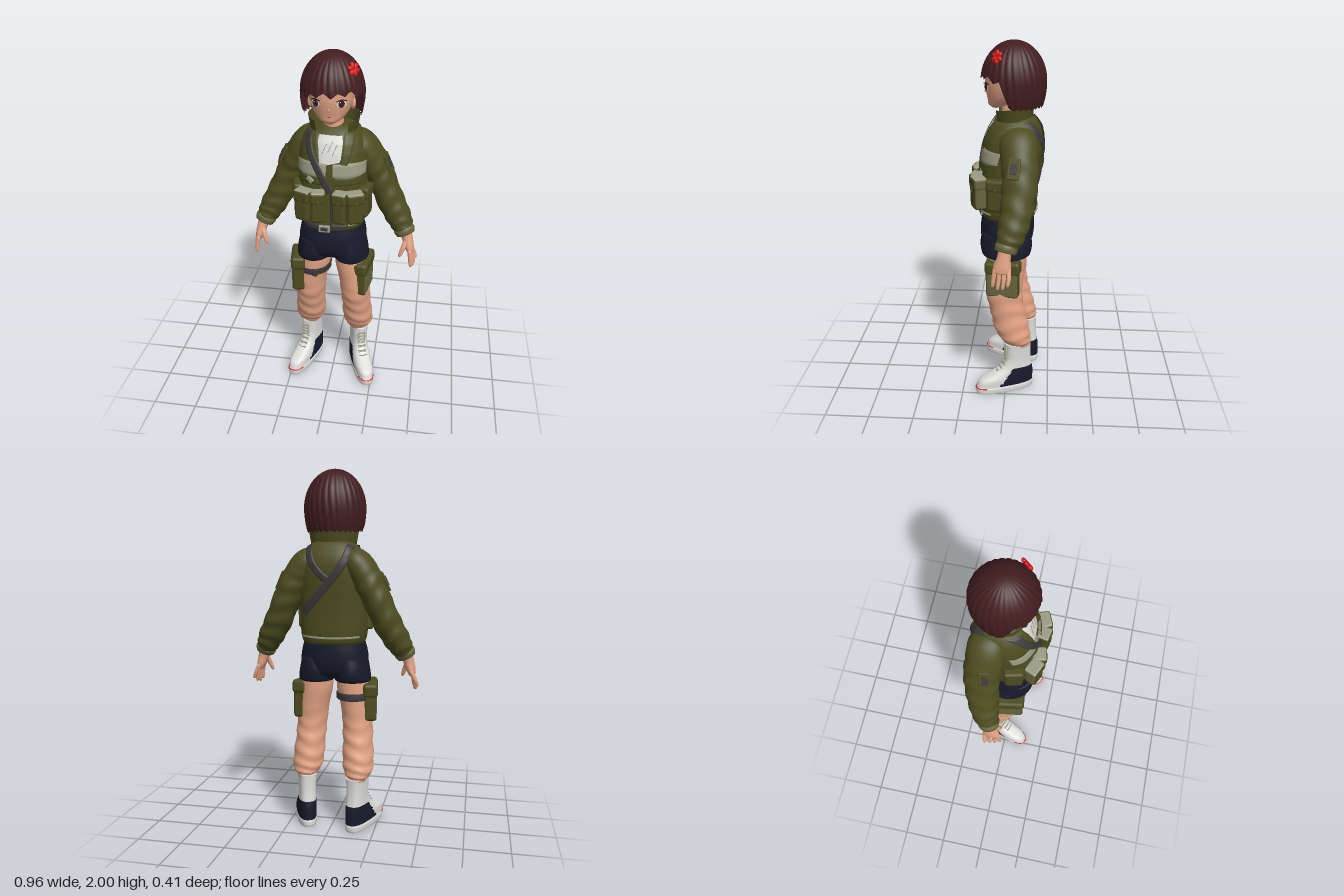
import * as THREE from 'three';
import { mergeVertices } from 'three/addons/utils/BufferGeometryUtils.js';
import { RoundedBoxGeometry } from 'three/addons/geometries/RoundedBoxGeometry.js';

const mat = (name, color) => new THREE.MeshStandardMaterial({ name, color, side: THREE.DoubleSide });
const skin = mat('skin', 0xe2a283), hairCol = mat('maroon hair', 0x421d1f), olive = mat('olive', 0x4c4c20);
const khaki = mat('pale khaki', 0x9c9c84), moss = mat('moss', 0x66663f), navy = mat('navy', 0x171a2b);
const charcoal = mat('charcoal', 0x3d393b), white = mat('white', 0xdcdcda), red = mat('red', 0xd81a1a);
const { sin, cos, abs, PI, sign } = Math, { smoothstep, clamp } = THREE.MathUtils;

// Jacket body rings: x, y, z, half width, half depth
const TORSO = [
  [0, 1.06, -.01, .168, .145], [0, 1.08, -.01, .178, .152], [0, 1.11, -.012, .184, .154], [0, 1.16, -.015, .187, .152],
  [0, 1.22, -.018, .186, .15], [0, 1.3, -.022, .186, .153], [0, 1.38, -.028, .187, .155], [0, 1.45, -.036, .186, .154],
  [0, 1.5, -.042, .18, .148], [0, 1.55, -.046, .166, .134], [0, 1.59, -.047, .14, .112], [0, 1.615, -.047, .105, .085],
  [0, 1.63, -.045, .06, .055]];
const SQ = 2.5;

// Front (side 1) or back (side -1) surface of the jacket at x, y
function surfaceZ(x, y, side) {
  let i = 0;
  while (i < TORSO.length - 2 && TORSO[i + 1][1] < y) i++;
  const a = TORSO[i], b = TORSO[i + 1], k = clamp((y - a[1]) / (b[1] - a[1]), 0, 1);
  const [zc, rx, rz] = [2, 3, 4].map(n => a[n] + (b[n] - a[n]) * k);
  return zc + side * rz * (1 - Math.min(abs(x) / rx, .99) ** SQ) ** (1 / SQ);
}

export function createModel() {
  const root = new THREE.Group();
  const add = (name, geo, m, pos = [0, 0, 0], rot = [0, 0, 0], parent = root) => {
    const mesh = new THREE.Mesh(geo, m);
    mesh.name = name;
    mesh.position.set(...pos);
    mesh.rotation.set(...rot);
    parent.add(mesh);
    return mesh;
  };
  const group = (name, pos, rot) => {
    const g = new THREE.Group();
    g.name = name;
    g.position.set(...pos);
    g.rotation.set(...rot);
    root.add(g);
    return g;
  };
  const smooth = g => {
    g.deleteAttribute('uv'); g.deleteAttribute('normal');
    g = mergeVertices(g, 1e-5);
    g.computeVertexNormals();
    return g;
  };
  const box = (name, size, r, m, pos, rot, parent) => add(name, new RoundedBoxGeometry(...size, 3, r), m, pos, rot, parent);
  // Box face colours: outer side (s = 1 for +x), top, and olive elsewhere
  const faces = (s, outer, top) => [s > 0 ? outer : olive, s < 0 ? outer : olive, top, olive, olive, olive];

  // Skin elliptical sections along a path of [x, y, z, ra, rb]
  function loft(name, m, pts, { seg = 28, steps = 40, flat = false, raw = false, sq = 2, fold = 0, waves = 8, pick, parent } = {}) {
    const V = (...a) => new THREE.Vector3(...a);
    const path = new THREE.CatmullRomCurve3(pts.map(p => V(p[0], p[1], p[2])), false, 'catmullrom');
    const radii = new THREE.CatmullRomCurve3(pts.map(p => V(p[3], p[4], 0)), false, 'catmullrom');
    const n = raw ? pts.length - 1 : steps, pos = [], Z = V(0, 0, 1);
    const idx = pick ? m.map(() => []) : [[]];
    const pw = c => sign(c) * abs(c) ** (2 / sq);
    for (let i = 0; i <= n; i++) {
      const u = i / n, c = path.getPoint(u), r = radii.getPoint(u);
      const t = flat ? V(0, 1, 0) : path.getTangent(u);
      const side = t.clone().cross(Z).normalize(), other = side.clone().cross(t);
      for (let j = 0; j < seg; j++) {
        const a = j / seg * 2 * PI;
        const f = 1 + fold * smoothstep(u, .2, .5) * sin(u * waves * 2 * PI + 1.5 * sin(a * 2 + u * 5));
        const p = c.clone().addScaledVector(side, pw(cos(a)) * r.x * f).addScaledVector(other, pw(sin(a)) * r.y * f);
        pos.push(p.x, p.y, p.z);
      }
    }
    const at = k => V(pos[k * 3], pos[k * 3 + 1], pos[k * 3 + 2]);
    for (let i = 0; i < n; i++) for (let j = 0; j < seg; j++) {
      const a = i * seg + j, b = i * seg + (j + 1) % seg, c = a + seg, d = b + seg;
      const mid = at(a).add(at(d)).multiplyScalar(.5);
      idx[pick ? pick(mid.x, mid.y, mid.z) : 0].push(a, c, b, b, c, d);
    }
    for (const end of [0, n]) { // end caps
      const c = path.getPoint(end / n), k = pos.length / 3;
      pos.push(c.x, c.y, c.z);
      for (let j = 0; j < seg; j++) {
        const a = end * seg + j, b = end * seg + (j + 1) % seg;
        idx[0].push(...(end ? [a, k, b] : [a, b, k]));
      }
    }
    const g = new THREE.BufferGeometry();
    g.setAttribute('position', new THREE.Float32BufferAttribute(pos, 3));
    g.setIndex(idx.flat());
    let start = 0;
    if (pick) idx.forEach((l, k) => { g.addGroup(start, l.length, k); start += l.length; });
    g.computeVertexNormals();
    return add(name, g, m, [0, 0, 0], [0, 0, 0], parent);
  }

  // Cloth strip lying on the jacket: path of [x, y, width]
  function ribbon(name, m, pts, side = 1, off = .01) {
    const curve = new THREE.CatmullRomCurve3(pts.map(p => new THREE.Vector3(...p)), false, 'catmullrom');
    const g = new THREE.PlaneGeometry(1, 1, 8, 28), p = g.attributes.position;
    for (let i = 0; i < p.count; i++) {
      const u = .5 - p.getY(i), c = curve.getPoint(u), t = curve.getTangent(u).setZ(0).normalize();
      const e = abs(p.getX(i)) > .49 ? -.004 : 0, x = c.x + t.y * p.getX(i) * c.z, y = c.y - t.x * p.getX(i) * c.z;
      p.setXYZ(i, x, y, surfaceZ(x, y, side) + side * (off + e));
    }
    return add(name, smooth(g), m);
  }

  // Head
  const hx = -.008;
  loft('head', skin, [[hx, 1.652, .06, .02, .02], [hx, 1.67, .045, .055, .055], [hx, 1.7, .02, .086, .085], [hx, 1.74, 0, .108, .113],
    [hx, 1.79, -.01, .122, .128], [hx, 1.86, -.02, .13, .13], [hx, 1.93, -.03, .09, .1]], { flat: true });
  loft('neck', skin, [[0, 1.5, -.04, .06, .055], [0, 1.6, -.03, .056, .06], [hx, 1.7, -.02, .05, .052]], { flat: true });
  add('nose', new THREE.SphereGeometry(.008, 12, 8), skin, [hx, 1.737, .112]).scale.set(.7, 1.2, 1);
  box('mouth', [.018, .003, .006], .0015, hairCol, [hx, 1.698, .103]);
  const disc = (name, m, x, y, z, w, h, ry) => add(name, new THREE.CircleGeometry(1, 24), m, [x, y, z], [0, ry, 0]).scale.set(w, h, 1);
  for (const s of [-1, 1]) {
    const x = hx + s * .066, ry = s * .5;
    disc('eyeWhite', white, x, 1.77, .105, .026, .018, ry);
    disc('iris', hairCol, x, 1.771, .107, .017, .019, ry);
    disc('pupil', navy, x, 1.773, .109, .006, .009, ry);
    disc('eyeGlint', white, x - .005, 1.779, .111, .004, .004, ry);
    for (const d of [-1, 1]) box('upperLash', [.029, .005, .005], .002, navy, [x + d * .012, 1.789, .105 - d * s * .007], [0, ry, -d * .25]);
    add('ear', new THREE.SphereGeometry(1, 16, 12), skin, [hx + s * .11, 1.745, -.005], [0, s * .25, 0]).scale.set(.014, .034, .024);
  }

  // Bobbed hair: dome with strands, short over the face and long behind the ears
  const hg = new THREE.PlaneGeometry(1, 1, 240, 30), hp = hg.attributes.position;
  for (let i = 0; i < hp.count; i++) {
    const a = hp.getX(i) * 2 * PI, t = .5 - hp.getY(i), side = smoothstep(abs(a), 1.12, 1.55);
    const saw = f => abs(2 * ((a * f + 20.3) % 1) - 1);
    const fringe = 1.79 + .024 * saw(2.3) + .012 * saw(1.1) + .012 * cos(2 * (a - .35));
    const hem = fringe * (1 - side) + (1.661 + .012 * saw(5)) * side;
    const end = hem > 1.79 ? Math.acos((hem - 1.79) / .21) : PI / 2 + (1.79 - hem) / .17;
    const l = t * end, drop = Math.max(0, l - PI / 2) * .17;
    const y = drop ? 1.79 - drop : 1.79 + .21 * cos(l);
    const r = (drop ? 1 - .12 * (drop / .13) ** 2 : sin(l)) * (.985 + .028 * abs(sin(a * 14 + .8 * sin(l * 2))));
    hp.setXYZ(i, hx + .167 * r * sin(a), y, -.034 + .172 * r * cos(a));
  }
  add('hair', smooth(hg), hairCol);

  // Flower hairpin
  const flower = group('flowerHairpin', [.108, 1.93, .045], [-.5, .8, 0]);
  for (let i = 0; i < 6; i++) {
    const a = i * PI / 3;
    add('petal', new THREE.SphereGeometry(1, 10, 8), red, [.018 * cos(a), .018 * sin(a), 0], [0, 0, a], flower).scale.set(.02, .013, .011);
  }

  // Jacket body, collar, shirt
  loft('jacketBody', olive, TORSO, { flat: true, raw: true, sq: SQ, seg: 48 });
  const collar = new THREE.CylinderGeometry(.137, .118, .11, 40, 4, true, .7, 2 * PI - 1.4), cp = collar.attributes.position;
  for (let i = 0; i < cp.count; i++) cp.setY(i, cp.getY(i) - cp.getZ(i) * .14);
  collar.computeVertexNormals();
  add('collar', collar, olive, [0, 1.615, -.033]).scale.z = .83;
  ribbon('shirt', white, [[-.002, 1.59, .12], [-.003, 1.54, .135], [0, 1.47, .12], [.005, 1.45, .1]], 1, .008);
  for (const [x, y, w] of [[-.03, 1.53, .003], [0, 1.54, .003], [.025, 1.525, .003]])
    ribbon('shirtCrease', khaki, [[x - .012, y - .03, w], [x, y, w], [x + .012, y + .025, w]], 1, .014);
  for (const s of [-1, 1]) {
    ribbon('lapel', olive, [[s * .098, 1.6, .06], [s * .09, 1.53, .055], [s * .075, 1.45, .04]], 1, .016);
    ribbon('vestPanel', olive, [[s * .135, 1.56, .05], [s * .13, 1.45, .07], [s * .12, 1.3, .09]], 1, .009);
    ribbon('chestBand', khaki, [[s * .018, 1.417, .07], [s * .08, 1.418, .078], [s * .14, 1.418, .075], [s * .182, 1.417, .066]], 1, .016);
    ribbon('chestFlap', olive, [[s * .03, 1.36, .045], [s * .09, 1.36, .045], [s * .16, 1.36, .045]], 1, .02);
  }
  ribbon('chestTab', khaki, [[-.12, 1.372, .03], [-.105, 1.362, .03], [-.09, 1.35, .03]], 1, .026);
  ribbon('zip', charcoal, [[.012, 1.3, .012], [.012, 1.2, .012], [.012, 1.1, .012]], 1, .018);
  ribbon('belt', charcoal, [[-.135, 1.083, .045], [0, 1.083, .045], [.09, 1.083, .045]], 1, .013);
  ribbon('hemTrim', khaki, [[.1, 1.1, .012], [.13, 1.1, .012], [.165, 1.102, .012]], 1, .008);
  ribbon('backHemTrim', khaki, [[-.16, 1.102, .012], [0, 1.098, .012], [.16, 1.102, .012]], -1, .006);
  box('buckle', [.062, .042, .012], .005, khaki, [-.025, 1.083, .159]);
  box('bucklePlate', [.04, .022, .008], .003, charcoal, [-.025, 1.083, .163]);

  // Slings
  ribbon('frontSling', charcoal, [[-.12, 1.598, .038], [-.11, 1.52, .038], [-.05, 1.4, .038], [.008, 1.3, .036]], 1, .026);
  ribbon('backSling', charcoal, [[-.115, 1.598, .042], [-.08, 1.5, .045], [.03, 1.36, .045], [.15, 1.23, .045]], -1, .013);
  ribbon('backShoulderSling', charcoal, [[.115, 1.598, .04], [.1, 1.52, .04], [.05, 1.45, .04], [-.01, 1.4, .04]], -1, .009);

  // Waist pouches
  const pouch = (x, z, ry, w, body) => {
    const g = group('waistPouch', [x, 1.215, z], [0, ry, 0]);
    box('pouchBody', [w, .17, .07], .02, body, [0, 0, 0], [0, 0, 0], g);
    box('pouchFlap', [w + .008, .065, .078], .016, body, [0, .062, 0], [0, 0, 0], g);
    box('pouchTab', [.016, .04, .008], .003, olive, [0, .03, .039], [0, 0, 0], g);
  };
  for (const s of [-1, 1]) {
    pouch(s * .06, .16, s * -.2, .075, faces(s, olive, khaki));
    pouch(s * .135, .147, s * .42, .09, faces(s, moss, khaki));
    pouch(s * .175, .045, s * 1.35, .1, olive);
  }

  // Shorts
  loft('shorts', navy, [[0, .86, 0, .08, .08], [0, .885, 0, .16, .125], [0, .93, 0, .187, .146], [0, 1, -.002, .187, .15], [0, 1.09, -.008, .165, .14]],
    { flat: true, sq: 2.3 });

  for (const s of [-1, 1]) {
    const back = s < 0 ? .027 : 0;
    // Sleeves, cuffs and arm patches
    const arm = pts => pts.map(p => [s * p[0], p[1], p[2] - back, p[3], p[4]]);
    loft('sleeve', olive, arm([[.075, 1.54, -.06, .045, .07], [.135, 1.508, -.065, .076, .098], [.19, 1.432, -.073, .082, .098], [.247, 1.32, -.08, .077, .094],
      [.31, 1.18, -.065, .076, .086], [.365, 1.08, -.043, .07, .074], [.398, 1.02, -.02, .055, .058]]), { fold: .035, waves: 8, steps: 72 });
    loft('cuff', moss, arm([[.393, 1.03, -.022, .055, .058], [.4, 1.015, -.018, .059, .061], [.409, .995, -.013, .052, .054]]), { steps: 8 });
    box('armPatch', [.014, .11, .065], .005, olive, [s * .293, 1.405, -.05 - back], [0, -s * .2, s * .44]);
    box('armBadge', [.009, .055, .032], .003, charcoal, [s * .3, 1.408, -.048 - back], [0, -s * .2, s * .44]);

    // Hands
    loft('palm', skin, arm([[.405, 1.02, -.015, .034, .035], [.42, .97, -.007, .03, .036], [.434, .92, 0, .025, .046], [.442, .892, .003, .018, .042]]), { steps: 16 });
    for (let i = 0; i < 4; i++) {
      const z = -.034 + i * .024, x = .012 - i * .008, len = [.068, .088, .095, .083][i];
      loft('finger', skin, arm([[.437, .915, z, .012, .012], [.452 + x * .7, .9 - len * .45, z * 1.1 + .003, .0115, .0115],
        [.459 + x, .9 - len * .9, z * 1.1 + .008, .009, .009], [.459 + x, .9 - len, z * 1.1 + .009, .003, .003]]), { seg: 10, steps: 12 });
    }
    loft('thumb', skin, arm([[.415, .965, .012, .016, .016], [.4, .925, .034, .014, .014], [.385, .885, .044, .01, .01], [.381, .872, .046, .003, .003]]), { seg: 10, steps: 12 });

    // Legs
    const leg = pts => pts.map(p => [s * p[0], p[1], p[2] - back * clamp((.95 - p[1]) * 1.6, 0, 1), p[3], p[4]]);
    loft('shortsLeg', navy, leg([[.1, .98, 0, .085, .135], [.101, .91, 0, .098, .144], [.104, .855, 0, .102, .134], [.105, .842, 0, .097, .112]]), { flat: true, steps: 16 });
    loft('leg', skin, leg([[.103, .92, 0, .087, .105], [.109, .8, .004, .094, .108], [.124, .7, .008, .088, .105], [.134, .6, .008, .086, .102],
      [.14, .5, -.012, .085, .1], [.146, .4, -.034, .088, .1], [.15, .335, -.058, .08, .086], [.15, .3, -.07, .054, .073], [.15, .28, -.073, .045, .06]]),
    { flat: true, fold: .028, waves: 9, steps: 90 });

    // Thigh pouches
    const px = s > 0 ? .18 : -.202;
    box('thighPouch', [.074, .205, .185], .018, faces(s, moss, olive), [px, .725, .015], [0, -s * .15, 0]);
    box('thighPouchFlap', [.084, .078, .2], .02, olive, [px, .8, .013], [s * .06, -s * .15, 0]);
    box('pouchHanger', [.02, .08, .05], .005, olive, [px - s * .01, .85, 0]);

    // Boots
    const boot = group('boot', [s * .15, 0, -.07 - back], [0, s * .36, 0]);
    const pick = (x, y, z) => {
      if (y > .034 && y < .039 && z > .2) return 2;
      return y > .042 && y < .15 && z < .125 - (y - .045) * .8 ? 1 : 0;
    };
    loft('bootBody', [white, navy, red], [[0, 0, .083, .054, .17], [0, .012, .083, .057, .174], [0, .032, .083, .058, .175], [0, .042, .08, .055, .17], [0, .08, .07, .056, .16],
      [0, .115, .035, .053, .124], [0, .15, .01, .05, .093], [0, .2, 0, .048, .076], [0, .26, 0, .05, .074], [0, .305, 0, .053, .075]],
    { flat: true, sq: 2.7, seg: 72, steps: 126, pick, parent: boot });
    box('tongue', [.034, .17, .012], .005, white, [0, .22, .072], [0, 0, 0], boot);
    for (let i = 0; i < 7; i++) {
      const y = .13 + i * .023, z = .077 + Math.max(0, .19 - y) * .85;
      for (const d of [-1, 1]) box('lace', [.05, .005, .008], .002, khaki, [0, y, z], [0, 0, d * .3], boot);
    }
  }

  // Thigh strap
  loft('thighStrap', charcoal, [[-.112, .74, -.005, .095, .112], [-.112, .745, -.005, .1, .116], [-.111, .775, -.005, .1, .117], [-.11, .78, -.005, .095, .112]],
    { flat: true, raw: true });
  box('strapClip', [.03, .045, .012], .005, charcoal, [-.09, .76, .111]);
  return root;
}
